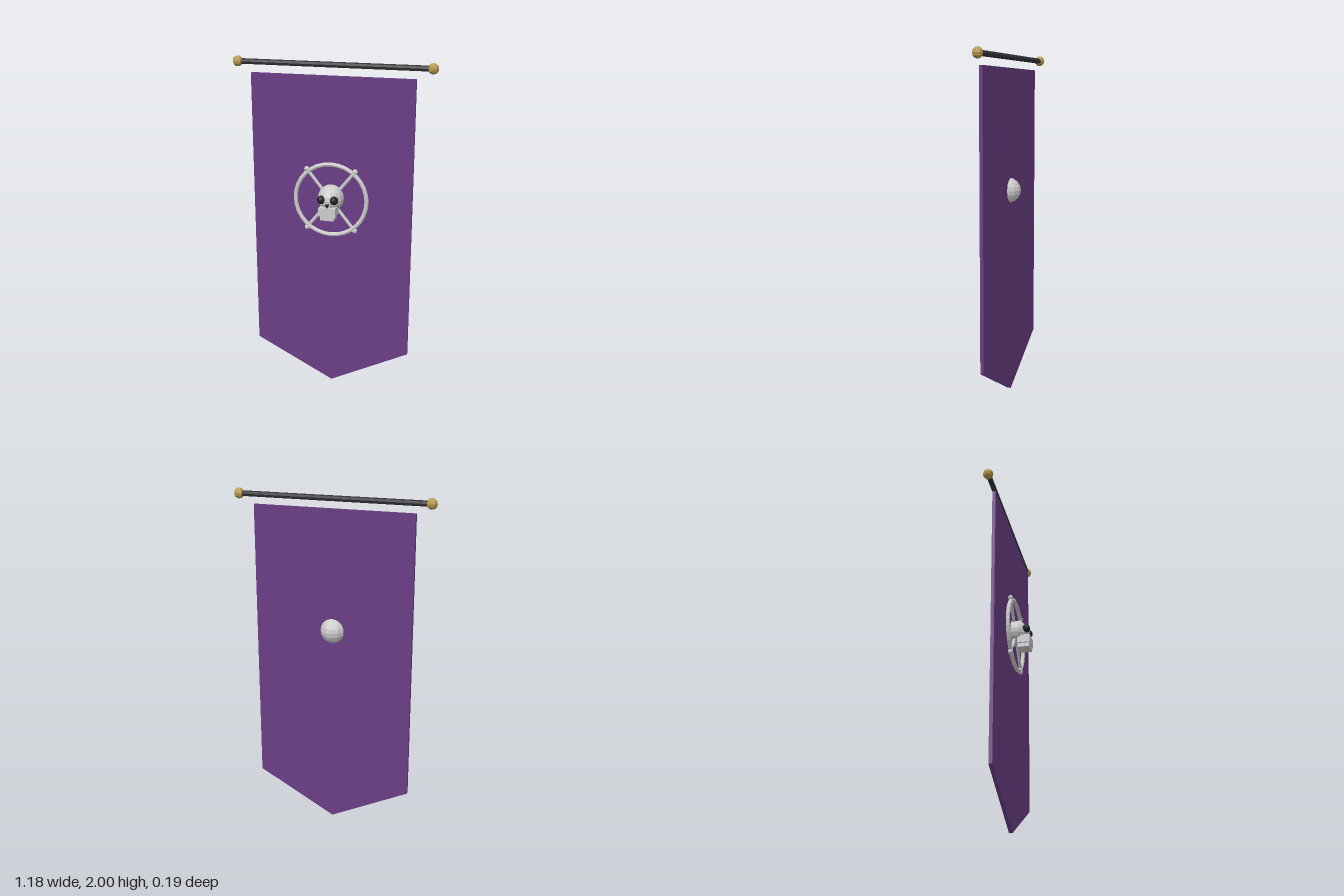
import * as THREE from 'three';

const mat = (color) => new THREE.MeshStandardMaterial({ color, flatShading: true });

export function createModel() {
  const group = new THREE.Group();
  const purple = mat(0x6a3d85), iron = mat(0x333338), gold = mat(0xb89b50);
  const bone = mat(0xcccccc), dark = mat(0x222222);

  const add = (name, geometry, material, x, y, z, parent = group) => {
    const mesh = new THREE.Mesh(geometry, material);
    mesh.name = name;
    mesh.position.set(x, y, z);
    parent.add(mesh);
    return mesh;
  };

  // Cloth with a pointed lower edge
  const outline = new THREE.Shape([
    [-0.475, 1.91], [-0.475, 0.24], [0, 0], [0.475, 0.24], [0.475, 1.91],
  ].map(([x, y]) => new THREE.Vector2(x, y)));
  add('cloth', new THREE.ExtrudeGeometry(outline, { depth: 0.02, bevelEnabled: false }), purple, 0, 0, -0.037);

  // Hanging rod and its finials
  add('rod', new THREE.CylinderGeometry(0.016, 0.016, 1.12, 8), iron, 0, 1.969, -0.042).rotation.z = Math.PI / 2;
  for (const side of [-1, 1]) {
    add('finial', new THREE.SphereGeometry(0.031, 8, 6), gold, side * 0.561, 1.969, -0.042);
  }

  // Emblem ring with crossed bones
  const emblem = new THREE.Group();
  emblem.name = 'emblem';
  emblem.position.y = 1.195;
  group.add(emblem);
  add('ring', new THREE.TorusGeometry(0.213, 0.0125, 8, 32), bone, 0, 0, 0, emblem);
  const end = new THREE.Vector2(0.144, 0.178);
  for (const side of [-1, 1]) {
    add('crossbone', new THREE.CylinderGeometry(0.01, 0.01, end.length() * 2, 8), bone, 0, 0, 0, emblem)
      .rotation.z = -side * Math.atan2(end.x, end.y);
    for (const up of [-1, 1]) {
      add('boneEnd', new THREE.SphereGeometry(0.016, 8, 6), bone, side * end.x, up * end.y, 0, emblem);
    }
  }

  // Skull
  const skull = new THREE.Group();
  skull.name = 'skull';
  group.add(skull);
  add('cranium', new THREE.SphereGeometry(1, 14, 10), bone, 0, 1.207, -0.006, skull).scale.set(0.077, 0.078, 0.089);
  add('upperJaw', new THREE.BoxGeometry(0.1, 0.05, 0.078), bone, 0, 1.145, 0.056, skull);
  add('lowerJaw', new THREE.BoxGeometry(0.082, 0.026, 0.07), bone, 0, 1.108, 0.055, skull);
  for (const side of [-1, 1]) {
    add('eyeSocket', new THREE.SphereGeometry(0.025, 10, 8), dark, side * 0.038, 1.214, 0.071, skull);
  }
  add('nose', new THREE.ConeGeometry(0.013, 0.028, 4), dark, 0, 1.178, 0.084, skull).rotation.x = Math.PI;

  return group;
}
